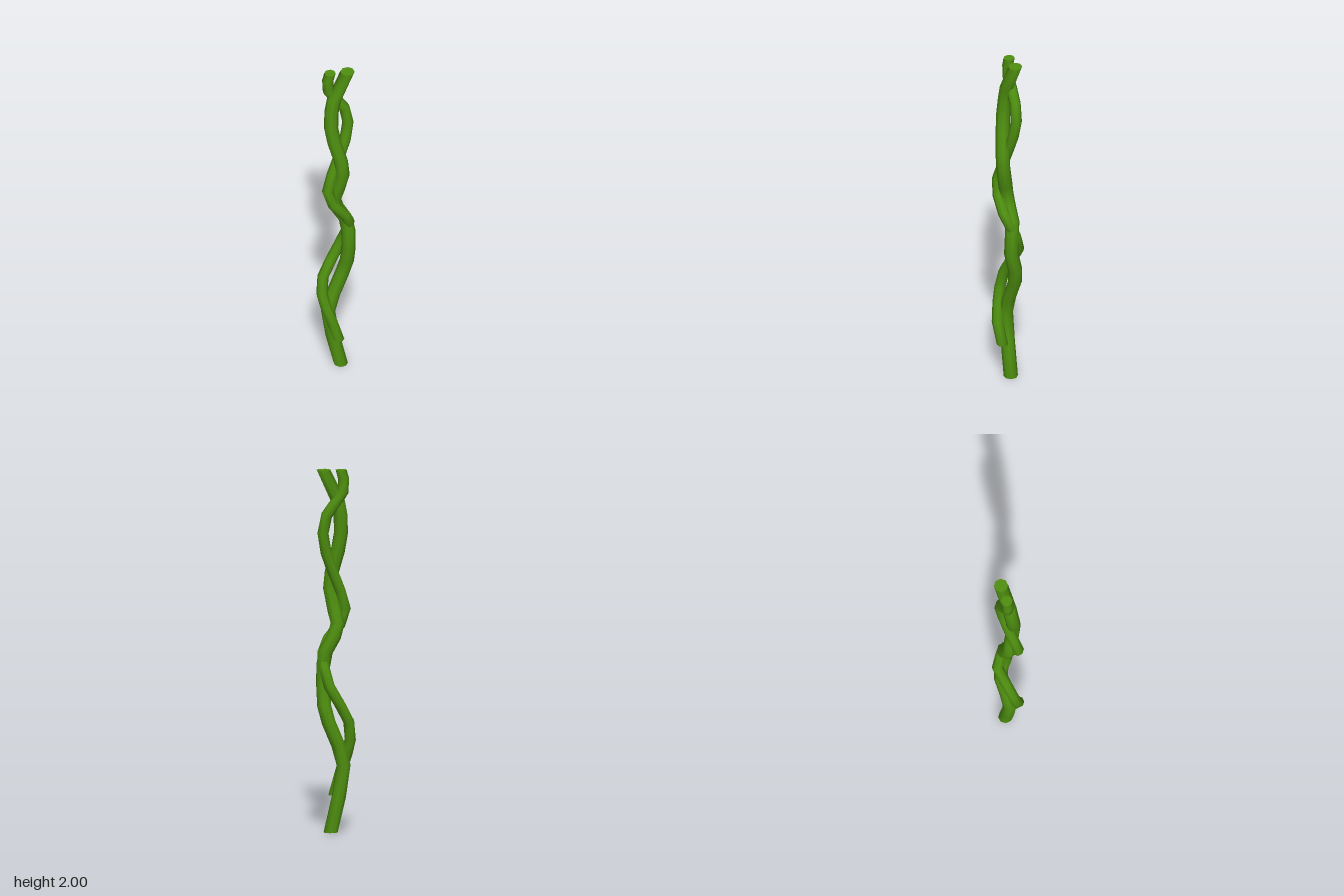
import * as THREE from 'three';

const UP = new THREE.Vector3(0, 1, 0);

// Bends an eight-sided capped cylinder along a list of [x, y, z] points, bottom to top.
function vine(name, radius, path, material) {
  const points = path.map((p) => new THREE.Vector3(...p));
  const last = points.length - 1;
  const geometry = new THREE.CylinderGeometry(radius, radius, 1, 8, last, false, Math.PI / 8);

  // Rings tilt with the path, but both cut ends stay level.
  const tilts = points.map((p, i) => {
    const q = new THREE.Quaternion();
    if (i === 0 || i === last) return q;
    const before = p.clone().sub(points[i - 1]).normalize();
    const after = points[i + 1].clone().sub(p).normalize();
    return q.setFromUnitVectors(UP, before.add(after).normalize());
  });

  const position = geometry.attributes.position;
  const normal = geometry.attributes.normal;
  const v = new THREE.Vector3();
  for (let i = 0; i < position.count; i++) {
    const ring = Math.round((position.getY(i) + 0.5) * last);
    v.set(position.getX(i), 0, position.getZ(i)).applyQuaternion(tilts[ring]).add(points[ring]);
    position.setXYZ(i, v.x, v.y, v.z);
    v.fromBufferAttribute(normal, i).applyQuaternion(tilts[ring]);
    normal.setXYZ(i, v.x, v.y, v.z);
  }

  const mesh = new THREE.Mesh(geometry, material);
  mesh.name = name;
  return mesh;
}

export function createModel() {
  const group = new THREE.Group();
  group.name = 'twistedVines';
  const green = new THREE.MeshStandardMaterial({ color: 0x4f9010 });

  // Thicker stem, standing on the ground
  group.add(vine('mainVine', 0.039, [
    [0.03, 0, -0.005], [-0.015, 0.2, -0.012], [-0.04, 0.37, -0.015],
    [-0.01, 0.48, -0.018], [0.045, 0.61, -0.024], [0.067, 0.7, -0.01],
    [0.068, 0.81, 0.015], [0.068, 0.92, 0.01], [0.055, 1.0, 0],
    [0.01, 1.08, -0.003], [-0.01, 1.15, 0], [0.005, 1.22, 0.015],
    [0.025, 1.34, 0.04], [0.016, 1.43, 0.038], [-0.015, 1.55, 0.02],
    [-0.03, 1.65, 0.008], [-0.025, 1.75, 0], [-0.01, 1.83, -0.003],
    [0.07, 2, -0.01],
  ], green));

  // Thinner stem, starting above the ground and winding around the main one
  group.add(vine('climbingVine', 0.031, [
    [0.005, 0.2, 0.033], [-0.035, 0.33, 0.042], [-0.065, 0.43, 0.02],
    [-0.08, 0.51, 0], [-0.068, 0.61, -0.018], [-0.02, 0.7, -0.032],
    [0.045, 0.81, -0.046], [0.068, 0.91, -0.012], [0.068, 0.99, 0.022],
    [0.035, 1.06, 0.044], [-0.03, 1.14, 0.04], [-0.057, 1.23, 0.028],
    [-0.025, 1.33, 0.015], [0.015, 1.43, 0.005], [0.055, 1.54, -0.005],
    [0.074, 1.65, -0.014], [0.054, 1.75, -0.018], [0.005, 1.82, -0.024],
    [-0.035, 1.88, -0.026], [-0.038, 1.95, -0.026], [-0.025, 2, -0.026],
  ], green));

  return group;
}
